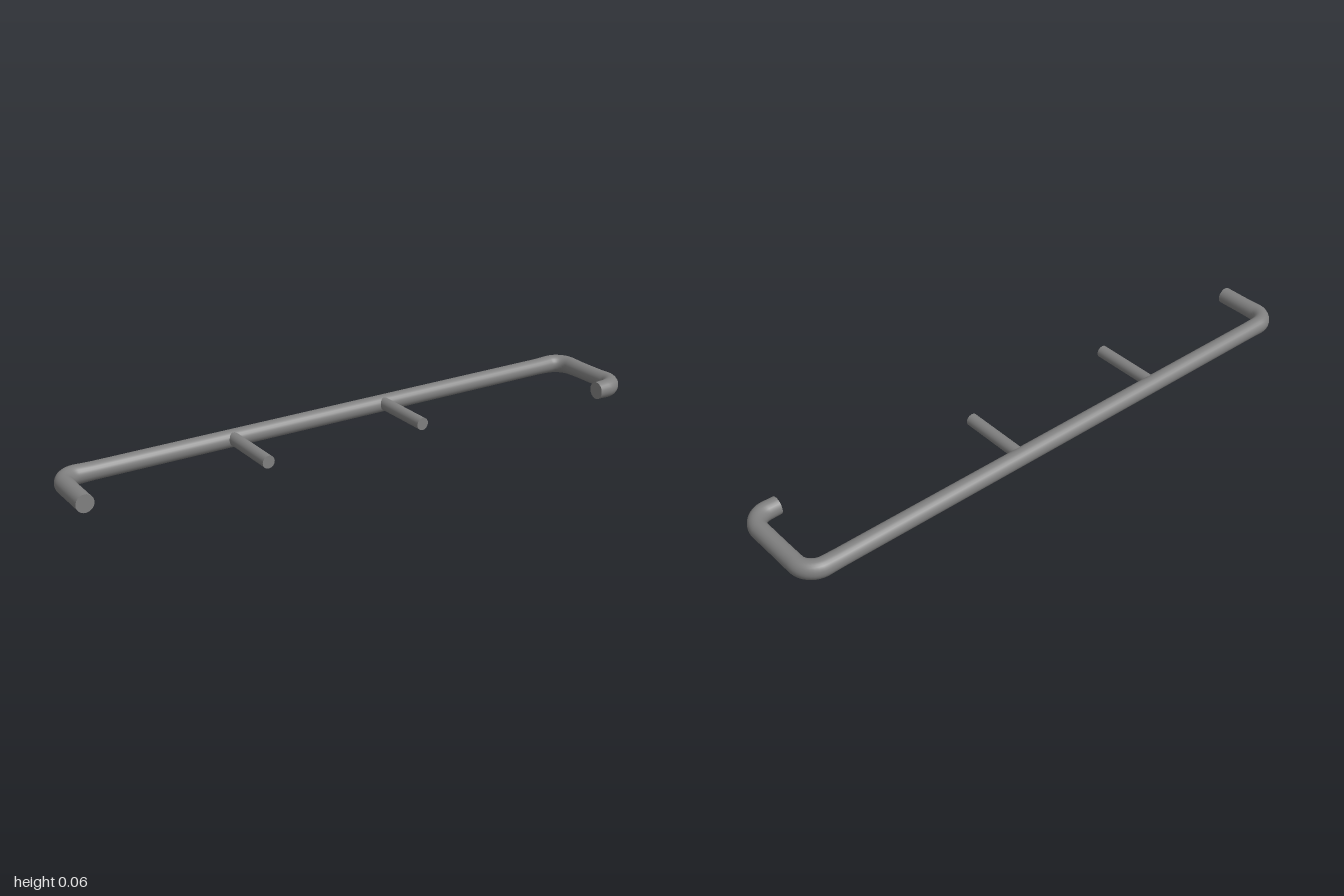
import * as THREE from 'three';

const RADIUS = 0.029, AXIS_Y = 0.033, BEND = 0.06;

// Path of straight runs joined by rounded corners
function roundedPath(points) {
  const path = new THREE.CurvePath();
  let start = points[0];
  for (let i = 1; i < points.length - 1; i++) {
    const p = points[i];
    const toward = (q) => p.clone().add(q.clone().sub(p).setLength(BEND));
    const a = toward(points[i - 1]), b = toward(points[i + 1]);
    path.add(new THREE.LineCurve3(start, a));
    // cubic handles give a near-circular bend
    path.add(new THREE.CubicBezierCurve3(a, a.clone().lerp(p, 0.55), b.clone().lerp(p, 0.55), b));
    start = b;
  }
  path.add(new THREE.LineCurve3(start, points[points.length - 1]));
  return path;
}

export function createModel() {
  const group = new THREE.Group();
  const material = new THREE.MeshStandardMaterial({ color: 0x808080 });
  const add = (geometry, name, x = 0, y = 0, z = 0) => {
    const mesh = new THREE.Mesh(geometry, material);
    mesh.name = name;
    mesh.position.set(x, y, z);
    group.add(mesh);
    return mesh;
  };

  // Main rail: short left leg, long back run, right side and returning hook
  const corners = [
    [-0.971, 0.055], [-0.971, -0.153], [0.971, -0.153], [0.971, 0.153], [0.873, 0.153],
  ].map(([x, z]) => new THREE.Vector3(x, AXIS_Y, z));
  const rail = new THREE.TubeGeometry(roundedPath(corners), 260, RADIUS, 24, false);

  // The pipe swells slightly in height around each bend
  const pos = rail.attributes.position;
  const bends = corners.slice(1, -1);
  for (let i = 0; i < pos.count; i++) {
    const d = Math.min(...bends.map((c) => Math.hypot(pos.getX(i) - c.x, pos.getZ(i) - c.z)));
    const swell = 1 + 0.11 * (1 - THREE.MathUtils.smoothstep(d, 0.03, 0.12));
    pos.setY(i, AXIS_Y + (pos.getY(i) - AXIS_Y) * swell);
  }
  add(rail, 'rail');

  // Flat end caps
  const cap = new THREE.CircleGeometry(RADIUS, 24);
  add(cap, 'legEndCap', -0.971, AXIS_Y, 0.055);
  const hookCap = add(cap, 'hookEndCap', 0.873, AXIS_Y, 0.153);
  hookCap.scale.y = 1.05;
  hookCap.rotation.y = -Math.PI / 2;

  // Two thinner mounting posts running forward from the back run
  const postBack = -0.15, postFront = 0.088;
  const post = new THREE.CylinderGeometry(0.021, 0.021, postFront - postBack, 24).rotateX(Math.PI / 2);
  for (const x of [-0.391, 0.182]) add(post, 'mountingPost', x, 0.037, (postBack + postFront) / 2);

  return group;
}
